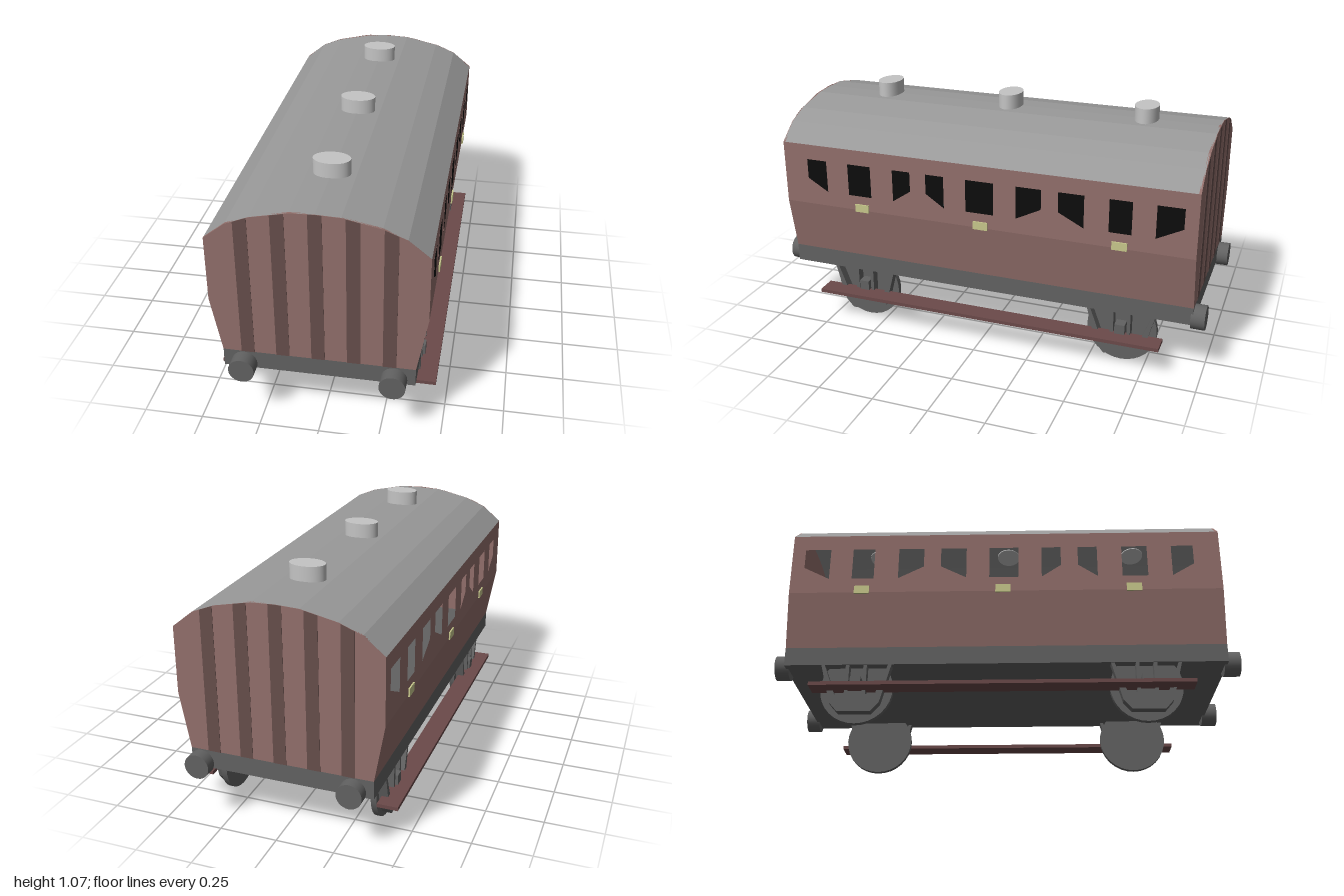
import * as THREE from 'three';

const mat = (name, color, side = THREE.FrontSide) => {
  const m = new THREE.MeshStandardMaterial({ color, side });
  m.name = name;
  return m;
};

export function createModel() {
  const model = new THREE.Group();
  model.name = 'railwayCarriage';

  const wall = mat('dusty red', 0x926f6b, THREE.DoubleSide);
  const stripe = mat('dark red', 0x664e4b);
  const roofGrey = mat('roof grey', 0x999999, THREE.DoubleSide);
  const ventGrey = mat('light grey', 0xc4c4c4);
  const iron = mat('iron grey', 0x626262);
  const board = mat('board brown', 0x6b4a4a);
  const black = mat('window black', 0x0c0c0c);
  const brass = mat('pale brass', 0xc8c88c);

  const BACK = -0.95, FRONT = 0.94, LEN = FRONT - BACK, MID = (FRONT + BACK) / 2;
  const CX = -0.006; // the body sits slightly off centre

  const add = (name, geo, material, x = 0, y = 0, z = 0, parent = model) => {
    const m = new THREE.Mesh(geo, material);
    m.name = name;
    m.position.set(x, y, z);
    parent.add(m);
    return m;
  };
  const box = (name, w, h, d, material, x, y, z) =>
    add(name, new THREE.BoxGeometry(w, h, d), material, x, y, z);
  const poly = pts => new THREE.Shape(pts.map(p => new THREE.Vector2(p[0], p[1])));
  const extrude = (shape, depth) =>
    new THREE.ExtrudeGeometry(shape, { depth, bevelEnabled: false });
  // Turns a shape drawn in (-z, y) to face sideways
  const sideways = geo => geo.rotateY(Math.PI / 2);

  // Roof arc, from the left eave to the right one
  const half = [[0.439, 0.86], [0.35, 0.932], [0.255, 0.97], [0.1, 1.003]];
  const arc = [...half, [0, 1.007], ...half.slice().reverse().map(([x, y]) => [-x, y])];
  const roofY = x => {
    const i = arc.findIndex((p, k) => k > 0 && p[0] <= x);
    const [a, b] = [arc[i - 1], arc[i]];
    return a[1] + (b[1] - a[1]) * (a[0] - x) / (a[0] - b[0]);
  };

  // Roof shell
  const inner = arc.slice().reverse().map(([x, y]) => [x * 0.985, y - 0.01]);
  add('roof', extrude(poly([...arc, ...inner]), LEN - 0.004), roofGrey, CX, 0, BACK + 0.002);

  // End panels with painted stripes
  const endShape = poly([[-0.395, 0.33], [0.395, 0.33], [0.439, 0.575], ...arc, [-0.439, 0.575]]);
  for (const [name, z, sz] of [['front', FRONT - 0.01, FRONT], ['back', BACK, BACK - 0.002]]) {
    add(name + 'EndPanel', extrude(endShape, 0.01), wall, CX, 0, z);
    for (let i = -2; i <= 2; i++) {
      const a = i * 0.145 - 0.028, b = a + 0.055;
      const pts = [[a, 0.33], [b, 0.33], [b, roofY(b)], [a, roofY(a)]];
      if (i === 0) pts.splice(3, 0, [0, roofY(0)]);
      add(name + 'Stripe', extrude(poly(pts), 0.002), stripe, CX, 0, sz);
    }
  }

  // Window outlines: [z toward front, z toward back, bottom at each]
  const LOW = 0.643, HIGH = 0.7, TOP = 0.79;
  const windows = [
    [0.823, 0.727, HIGH, LOW], [0.62, 0.508, LOW, LOW], [0.4, 0.315, LOW, HIGH],
    [0.24, 0.155, HIGH, LOW], [0.053, -0.075, LOW, LOW], [-0.176, -0.289, LOW, HIGH],
    [-0.364, -0.476, HIGH, LOW], [-0.583, -0.68, LOW, LOW], [-0.78, -0.893, LOW, HIGH],
  ].map(([z0, z1, y0, y1]) => [[-z0, y0], [-z1, y1], [-z1, TOP], [-z0, TOP]]);

  // Side walls: windowed upper panel and tapering lower panel
  const upper = poly([[-FRONT, 0.575], [-BACK, 0.575], [-BACK, 0.86], [-FRONT, 0.86]]);
  upper.holes = windows.map(w => new THREE.Path(poly(w).getPoints()));
  for (const s of [1, -1]) {
    const side = s > 0 ? 'left' : 'right';
    add(side + 'UpperWall', sideways(new THREE.ShapeGeometry(upper)), wall, CX + s * 0.439);
    const lower = [[0.395, 0.33], [0.439, 0.575], [0.429, 0.575], [0.385, 0.33]];
    add(side + 'LowerWall', extrude(poly(lower.map(([x, y]) => [s * x, y])), LEN), wall, CX, 0, BACK);
    for (const z of [0.556, -0.015, -0.632])
      box(side + 'DoorHandle', 0.009, 0.036, 0.066, brass, CX + s * 0.441, 0.586, z);
  }
  // Dark glazing on one side only; the other side is open
  for (const w of windows)
    add('windowPane', sideways(new THREE.ShapeGeometry(poly(w))), black, CX + 0.4395);

  // Roof vents
  for (const z of [0.604, 0, -0.628]) {
    const vent = add('roofVent', new THREE.CylinderGeometry(1, 1, 0.08, 32), ventGrey, CX, 1.03, z);
    vent.scale.set(0.077, 1, 0.053);
  }

  // Underframe and buffers
  box('underframe', 0.79, 0.08, LEN, iron, CX, 0.29, MID);
  for (const [x, z] of [[-0.315, 0.965], [0.302, 0.965], [-0.315, -0.97], [0.345, -0.97]]) {
    const len = 2 * (1 - Math.abs(z));
    add('buffer', new THREE.CylinderGeometry(0.054, 0.054, len, 24).rotateX(Math.PI / 2), iron, x, 0.272, z);
  }

  // Wheels with their guards, axle boxes and the footboards
  const guard = poly([
    [-0.15, 0.25], [-0.135, 0.25], [-0.085, 0.115], [-0.045, 0.115], [-0.045, 0.25], [-0.03, 0.25],
    [-0.03, 0.13], [0.03, 0.13], [0.03, 0.25], [0.045, 0.25], [0.045, 0.115], [0.085, 0.115],
    [0.135, 0.25], [0.15, 0.25], [0.105, 0.08], [0.07, 0.04], [-0.07, 0.04], [-0.105, 0.08],
  ].reverse());
  for (const s of [1, -1]) {
    const side = s > 0 ? 'left' : 'right';
    for (const z of [0.593, -0.64]) {
      add(side + 'Wheel', new THREE.CylinderGeometry(0.155, 0.155, 0.025, 32).rotateZ(Math.PI / 2),
        iron, CX + s * 0.34, 0.155, z);
      add(side + 'AxleGuard', sideways(extrude(guard, 0.04)), iron, CX + s * 0.372 - 0.02, 0, z);
      box(side + 'AxleBox', 0.05, 0.055, 0.045, iron, CX + s * 0.376, 0.167, z);
    }
    box(side + 'Footboard', 0.09, 0.016, 1.615, board, s * 0.415, 0.142, -0.018);
  }

  return model;
}
